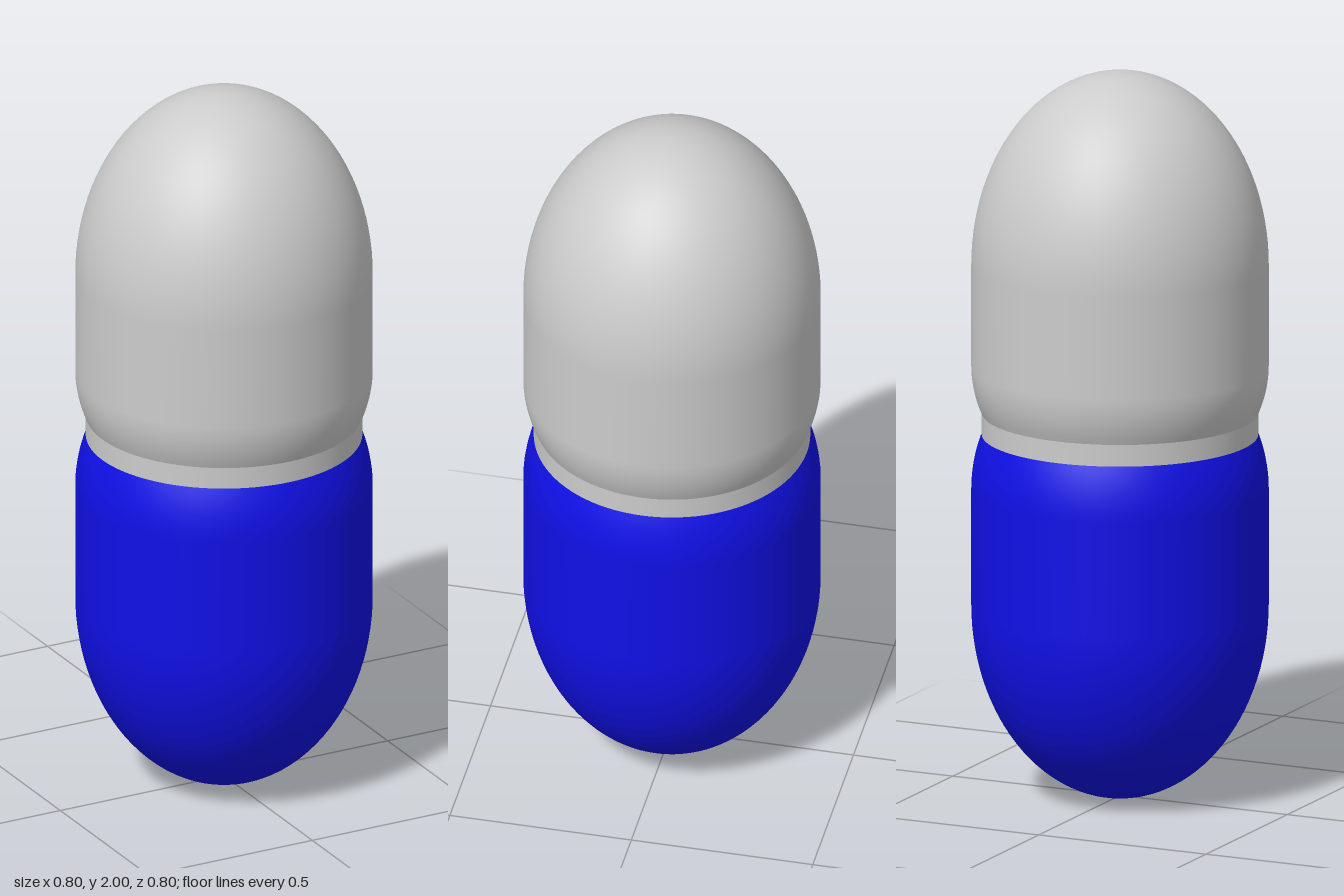
import * as THREE from 'three';

const R = 0.4;        // body radius
const NECK = 0.372;   // radius of the waist between the halves
const DOME = 0.53;    // height of each elliptical end

// Half profile, from the pole (h = 0) up to the shoulder that curves into the neck
function halfProfile(shoulderStart, shoulderEnd) {
  const pts = [];
  for (let i = 0; i <= 28; i++) {
    const a = (i / 28) * Math.PI / 2;
    pts.push(new THREE.Vector2(R * Math.sin(a), DOME * (1 - Math.cos(a))));
  }
  for (let i = 0; i <= 10; i++) {
    const t = i / 10;
    const h = THREE.MathUtils.lerp(shoulderStart, shoulderEnd, t);
    pts.push(new THREE.Vector2(R - (R - NECK) * t * t, h));
  }
  return pts;
}

function lathePart(name, points, color) {
  const mesh = new THREE.Mesh(
    new THREE.LatheGeometry(points, 96),
    new THREE.MeshStandardMaterial({ color, side: THREE.DoubleSide })
  );
  mesh.name = name;
  return mesh;
}

export function createModel() {
  const group = new THREE.Group();
  group.name = 'capsule';

  // Blue lower half, ending at the seam
  group.add(lathePart('lowerHalf', halfProfile(0.85, 1.0), 0x1010e7));

  // Grey upper half: same profile flipped
  const upper = halfProfile(0.81, 0.94)
    .map(p => new THREE.Vector2(p.x, 2 - p.y))
    .reverse();
  group.add(lathePart('upperHalf', upper, 0xcccccc));

  // Straight neck band just above the seam
  const band = [new THREE.Vector2(NECK, 1.0), new THREE.Vector2(NECK, 1.06)];
  group.add(lathePart('neckBand', band, 0xcccccc));

  return group;
}
